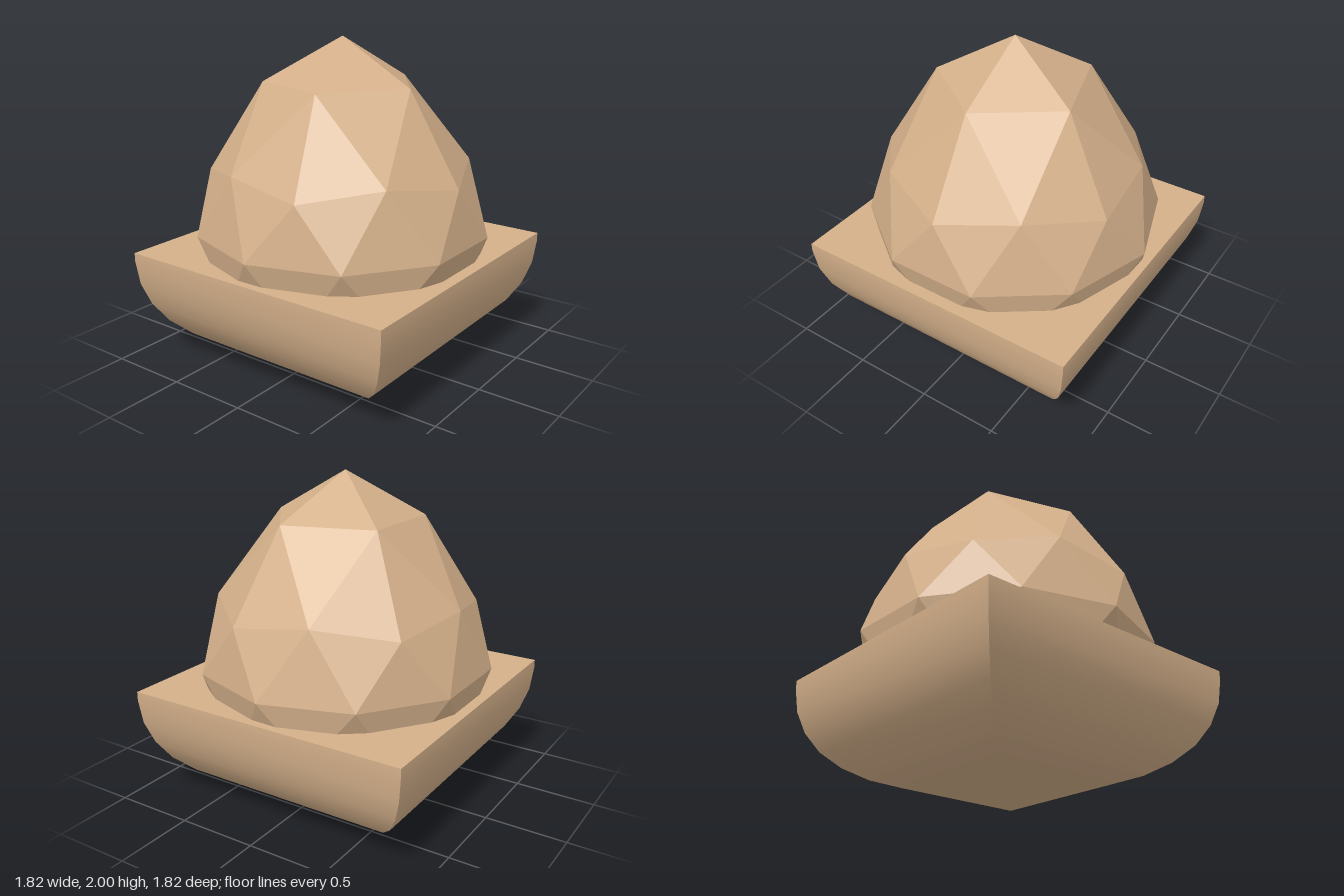
import * as THREE from 'three';
import { toCreasedNormals } from 'three/addons/utils/BufferGeometryUtils.js';

const WAIST = 0.84;   // height of the widest ring of the faceted body
const RADIUS = 0.91;

// Height above the waist for each ring of the unit sphere: the top is drawn up to a point
const LIFT = [[0, 0], [0.447, 0.35], [0.526, 0.42], [0.851, 0.89], [1, 1.16]];

function lift(y) {
  if (y <= 0) return y * 0.8;
  const i = Math.max(1, LIFT.findIndex(([h]) => h >= y - 1e-3));
  const [y0, h0] = LIFT[i - 1];
  const [y1, h1] = LIFT[i];
  return h0 + (h1 - h0) * (y - y0) / (y1 - y0);
}

export function createModel() {
  const model = new THREE.Group();
  model.name = 'facetedDomeOnTray';

  const tan = new THREE.MeshStandardMaterial({ color: 0xd4b08a });
  tan.name = 'tan';
  const tanFaceted = tan;

  // Faceted body: an icosphere standing on a vertex, stretched to a peak
  const body = new THREE.IcosahedronGeometry(1, 1);
  body.rotateZ(-Math.atan(2 / (1 + Math.sqrt(5))));
  const p = body.attributes.position;
  for (let i = 0; i < p.count; i++) {
    p.setXYZ(i, p.getX(i) * RADIUS, WAIST + lift(Math.min(1, p.getY(i))), p.getZ(i) * RADIUS);
  }
  body.computeVertexNormals(); // unshared corners, so every facet is flat
  const dome = new THREE.Mesh(body, tanFaceted);
  dome.name = 'facetedDome';
  model.add(dome);

  // Square base: a rounded profile carried around four mitred sides, closed on top
  const profile = [
    [0, 0], [0.28, 0.005], [0.42, 0.02], [0.56, 0.07], [0.68, 0.145], [0.78, 0.245],
    [0.85, 0.365], [0.893, 0.5], [0.91, 0.65], [0.91, 0.705], [0, 0.705],
  ].map(([half, y]) => new THREE.Vector2(half * Math.SQRT2, y));
  const bowl = new THREE.LatheGeometry(profile, 4, Math.PI / 4);
  const base = new THREE.Mesh(toCreasedNormals(bowl, 0.6), tan);
  base.name = 'squareBase';
  model.add(base);

  return model;
}
